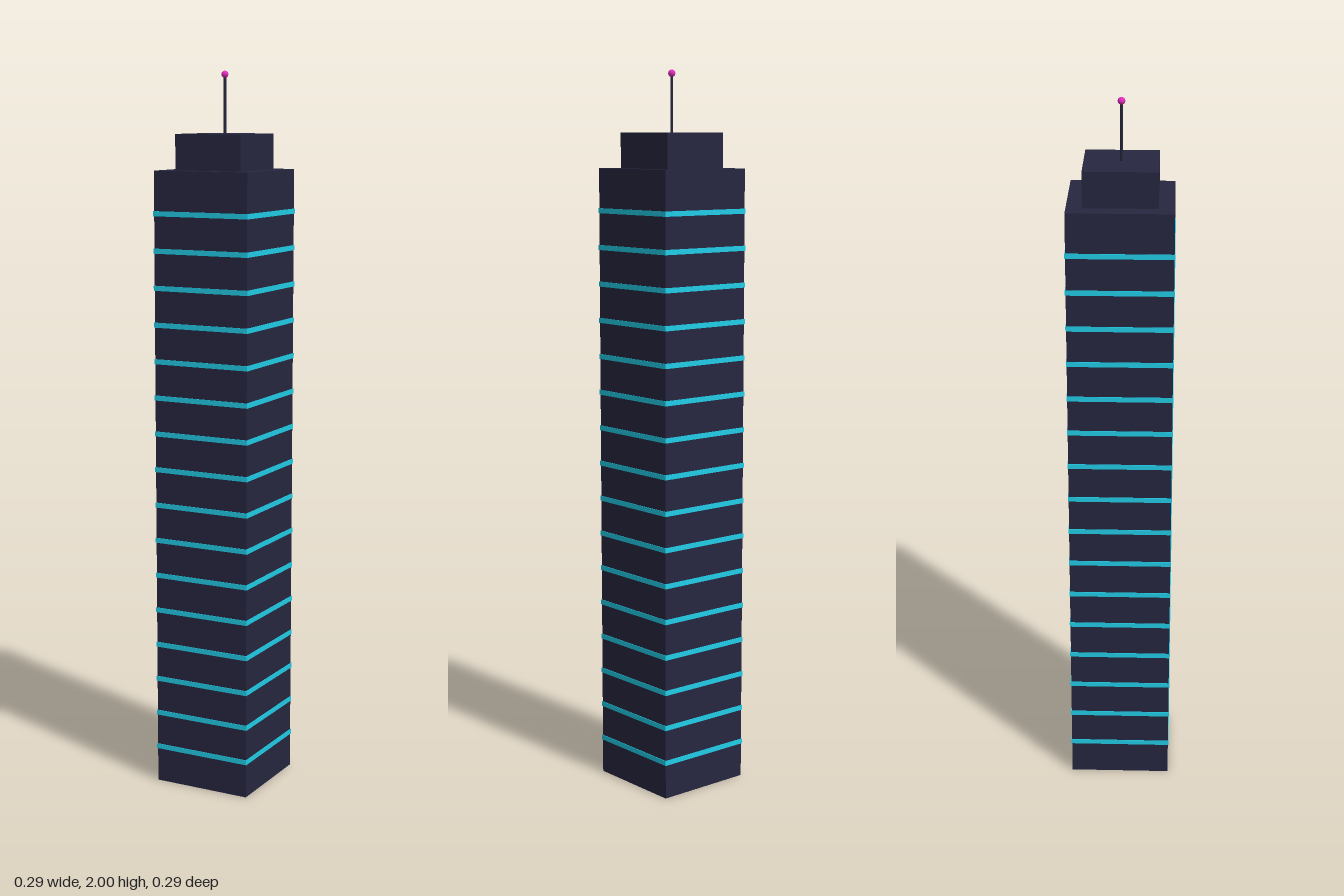
import * as THREE from 'three';

const paint = (name, color) => {
  const m = new THREE.MeshStandardMaterial({ color });
  m.name = name;
  return m;
};

export function createModel() {
  const wall = paint('dark navy wall', 0x262640);
  const glow = paint('cyan light', 0x22d3ee);
  const pink = paint('magenta beacon', 0xe62ec0);

  const tower = new THREE.Group();
  tower.name = 'skyscraper';

  // Adds a part centred on the tower's axis with its middle at height y
  const add = (name, geometry, material, y, parent = tower) => {
    const mesh = new THREE.Mesh(geometry, material);
    mesh.name = name;
    mesh.position.y = y;
    parent.add(mesh);
    return mesh;
  };

  // Main shaft and the smaller roof block
  const shaftTop = 1.735, roofTop = 1.832;
  add('shaft', new THREE.BoxGeometry(0.283, shaftTop, 0.283), wall, shaftTop / 2);
  add('roofBlock', new THREE.BoxGeometry(0.198, roofTop - shaftTop, 0.198), wall, (roofTop + shaftTop) / 2);

  // Evenly spaced light bands wrapping all four sides
  const bands = new THREE.Group();
  bands.name = 'lightBands';
  tower.add(bands);
  const bandGeometry = new THREE.BoxGeometry(0.287, 0.014, 0.287);
  for (let i = 0; i < 16; i++) add('lightBand', bandGeometry, glow, 0.103 + i * 0.1011, bands);

  // Antenna mast with a beacon at its tip
  const mastTop = 1.99;
  add('mast', new THREE.CylinderGeometry(0.004, 0.004, mastTop - roofTop, 6), wall, (mastTop + roofTop) / 2);
  add('beacon', new THREE.SphereGeometry(0.01, 8, 6), pink, 1.99);

  return tower;
}
